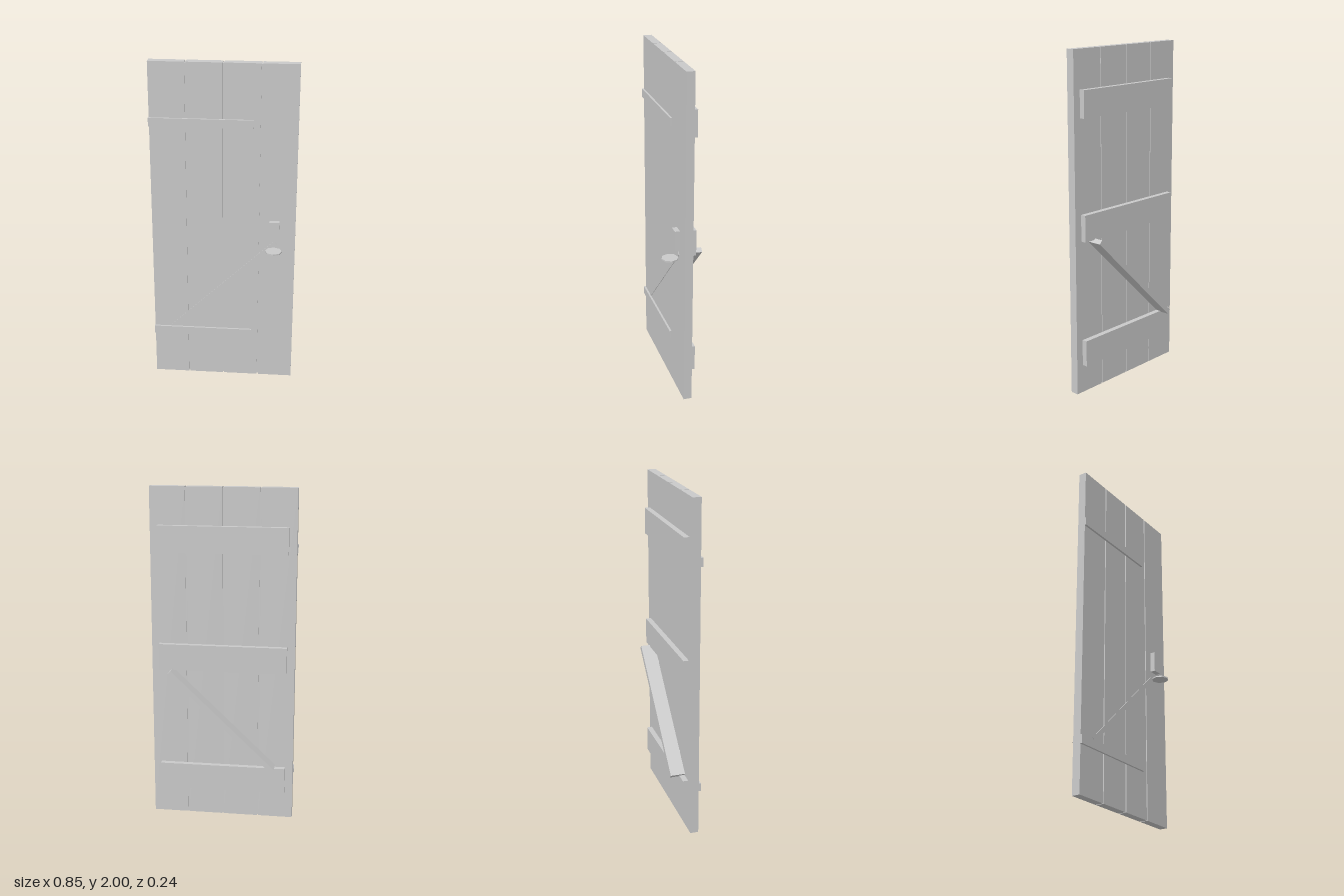
import * as THREE from 'three';

export function createModel() {
  const door = new THREE.Group();
  door.name = 'plankDoor';
  const grey = new THREE.MeshStandardMaterial({ color: 0xc8c8c8 });
  grey.name = 'light grey';

  // Box given by its lower and upper limits on each axis
  const box = (name, [x0, x1], [y0, y1], [z0, z1]) => {
    const mesh = new THREE.Mesh(new THREE.BoxGeometry(x1 - x0, y1 - y0, z1 - z0), grey);
    mesh.position.set((x0 + x1) / 2, (y0 + y1) / 2, (z0 + z1) / 2);
    mesh.name = name;
    door.add(mesh);
    return mesh;
  };

  const front = 0.018, back = -0.031, pitch = 0.2145, gap = 0.008, middle = 0.001;

  // Four upright planks
  for (let i = 0; i < 4; i++) {
    const x = middle + (i - 1.5) * pitch, half = (pitch - gap) / 2;
    box('plank' + (i + 1), [x - half, x + half], [0, 2], [back, front]);
  }

  // Recessed tongues closing the joints between planks
  for (let i = -1; i <= 1; i++) {
    const x = middle + i * pitch;
    box('jointTongue' + (i + 2), [x - gap / 2, x + gap / 2], [0.005, 1.995], [back + 0.004, front - 0.006]);
  }

  // Three cross ledges on the back
  for (const [name, y] of [['lowerLedge', 0.171], ['middleLedge', 0.923], ['upperLedge', 1.624]]) {
    box(name, [-0.378, 0.38], [y, y + 0.156], [-0.063, back]);
  }

  // Deep diagonal brace, passing through the planks and just proud of the front
  const brace = box('diagonalBrace', [-0.4275, 0.4275], [-0.0145, 0.0145], [-0.118, 0.021]);
  brace.position.x = 0.002;
  brace.position.y = 0.625;
  brace.rotation.z = THREE.MathUtils.degToRad(43.7);

  // Strap hinges on the front
  for (const [name, y] of [['lowerHinge', 0.276], ['upperHinge', 1.626]]) {
    box(name, [-0.428, 0.173], [y, y + 0.05], [front, 0.03]);
  }

  // Latch plate with the flat eight-sided pull below it
  box('latchPlate', [0.272, 0.331], [0.938, 1.062], [front, 0.048]);
  const pull = new THREE.Mesh(new THREE.CylinderGeometry(0.0495, 0.0495, 0.008, 8).toNonIndexed(), grey);
  pull.geometry.computeVertexNormals();
  pull.position.set(0.301, 0.886, 0.068);
  pull.name = 'pullDisc';
  door.add(pull);

  return door;
}
